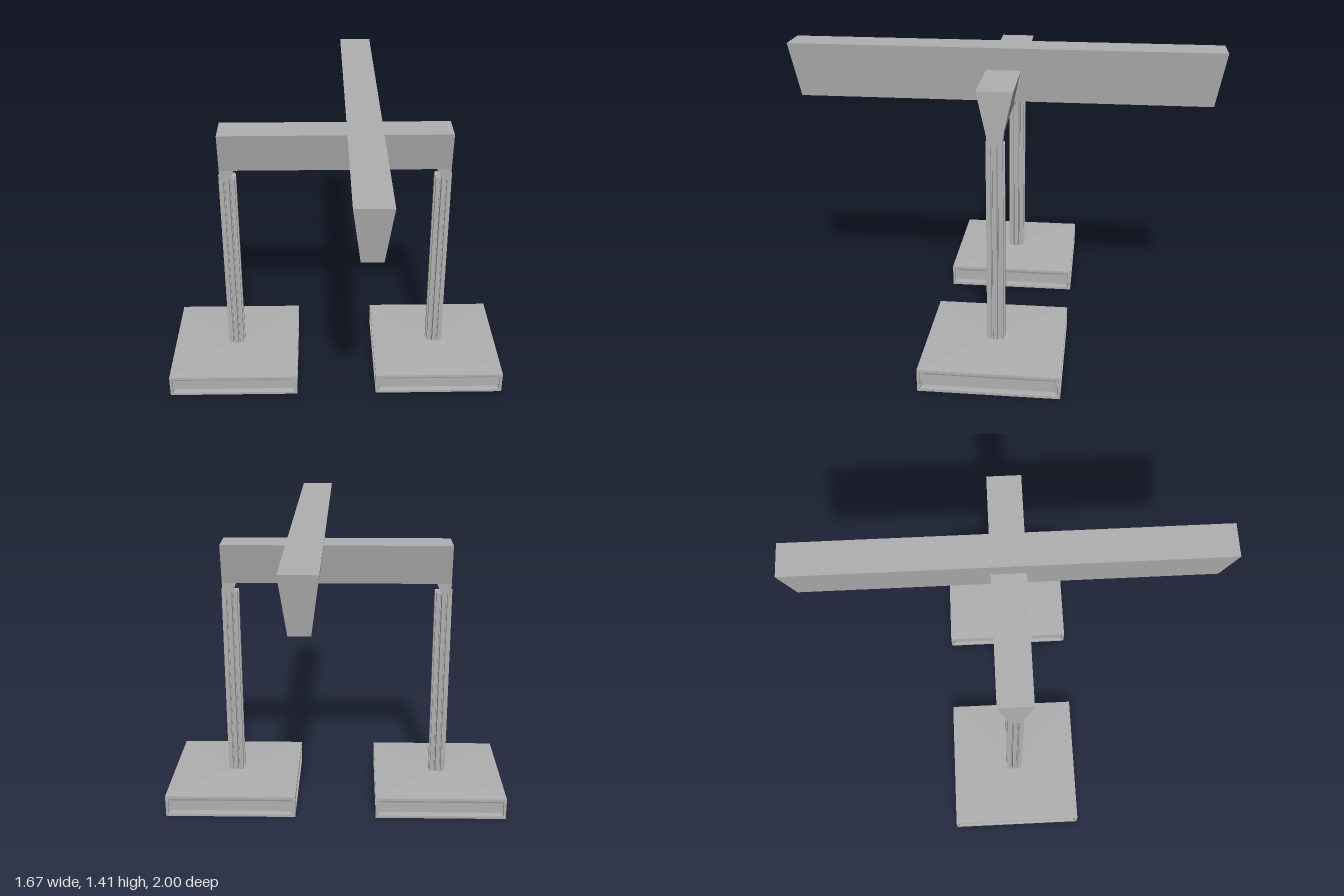
import * as THREE from 'three';

const concrete = new THREE.MeshStandardMaterial({ color: 0xb0b0b0 });
concrete.name = 'grey concrete';

// Joins rings of points into a flat-sided solid, with optional end caps.
function loft(rings, capStart = true, capEnd = true) {
  const p = [];
  const tri = (a, b, c) => p.push(...a, ...b, ...c);
  for (let r = 0; r < rings.length - 1; r++) {
    const a = rings[r], b = rings[r + 1], n = a.length;
    for (let i = 0; i < n; i++) {
      const j = (i + 1) % n;
      tri(a[i], a[j], b[j]);
      tri(a[i], b[j], b[i]);
    }
  }
  const s = rings[0], e = rings[rings.length - 1];
  for (let i = 1; i < s.length - 1; i++) {
    if (capStart) tri(s[0], s[i + 1], s[i]);
    if (capEnd) tri(e[0], e[i], e[i + 1]);
  }
  const g = new THREE.BufferGeometry();
  g.setAttribute('position', new THREE.Float32BufferAttribute(p, 3));
  g.computeVertexNormals();
  return g;
}

// Level rectangle, half sizes hx and hz, centred on cx.
const level = (y, hx, hz, cx = 0) =>
  [[cx + hx, y, hz], [cx + hx, y, -hz], [cx - hx, y, -hz], [cx - hx, y, hz]];

function add(parent, name, geometry) {
  const m = new THREE.Mesh(geometry, concrete);
  m.name = name;
  parent.add(m);
  return m;
}

// Fluted section: a centre rib between two grooves on each face.
function postGeometry(height) {
  const face = [[.036, -.036], [.036, -.018], [.026, -.016], [.026, -.012],
    [.042, -.009], [.042, .009], [.026, .012], [.026, .016], [.036, .018]];
  const pts = [];
  for (let k = 0; k < 4; k++) {
    for (const [x, y] of face) {
      pts.push(new THREE.Vector2(x, y).rotateAround(new THREE.Vector2(), k * Math.PI / 2));
    }
  }
  return new THREE.ExtrudeGeometry(new THREE.Shape(pts), { depth: height, bevelEnabled: false })
    .rotateX(-Math.PI / 2);
}

function createSupport() {
  const g = new THREE.Group();
  const half = 0.318, top = 0.107;

  // Low pyramid cap and underside of the footing
  add(g, 'footingCap', loft([level(top, half, half), level(0.118, 0.045, 0.045)], false));
  add(g, 'footingUnderside', loft([level(0, half, half), level(0.001, half, half)], true, false));

  // Framed, recessed panel on each side of the footing
  const panelRing = (inset, z) => {
    const x = half - inset, y0 = inset, y1 = top - inset;
    return [[-x, y0, z], [x, y0, z], [x, y1, z], [-x, y1, z]];
  };
  const panel = loft([panelRing(0, half), panelRing(0.013, half),
    panelRing(0.014, half - 0.008), panelRing(0.027, half - 0.012)], false);
  for (let k = 0; k < 4; k++) add(g, 'footingPanel', panel).rotation.y = k * Math.PI / 2;

  // Post with rounded rib tops
  add(g, 'post', postGeometry(0.965)).position.y = 0.1;
  const ribTop = new THREE.CylinderGeometry(0.009, 0.009, 0.084, 12).rotateZ(Math.PI / 2);
  for (let k = 0; k < 2; k++) {
    const rib = add(g, 'ribTop', ribTop);
    rib.position.y = 1.065;
    rib.rotation.y = k * Math.PI / 2;
  }
  return g;
}

export function createModel() {
  const model = new THREE.Group();
  model.name = 'gantry';

  for (const side of [-1, 1]) {
    const support = createSupport();
    support.name = side > 0 ? 'leftSupport' : 'rightSupport';
    support.position.x = side * 0.515;
    model.add(support);

    // Tapered haunch between crossbeam and post
    add(model, 'haunch', loft([
      level(1.05, 0.022, 0.034, side * 0.528),
      level(1.112, 0.035, 0.037, side * 0.515),
    ]));
  }

  // Crossbeam, wider at the top
  add(model, 'crossbeam', loft([level(1.11, 0.55, 0.037), level(1.305, 0.548, 0.08)]));

  // Long beam with a channel in its underside
  const cx = 0.126;
  add(model, 'longBeam', loft([
    level(1.2, 0.038, 0.945, cx), level(1.155, 0.038, 0.945, cx),
    level(1.155, 0.046, 0.957, cx), level(1.411, 0.08, 1, cx),
  ]));

  // Slanted louvres in the channel
  const louvre = new THREE.BoxGeometry(0.076, 0.004, 0.056).rotateX(Math.PI / 4);
  const count = 20;
  for (let i = 0; i < count; i++) {
    add(model, 'louvre', louvre).position.set(cx, 1.179, -0.92 + 1.84 * i / (count - 1));
  }
  return model;
}
